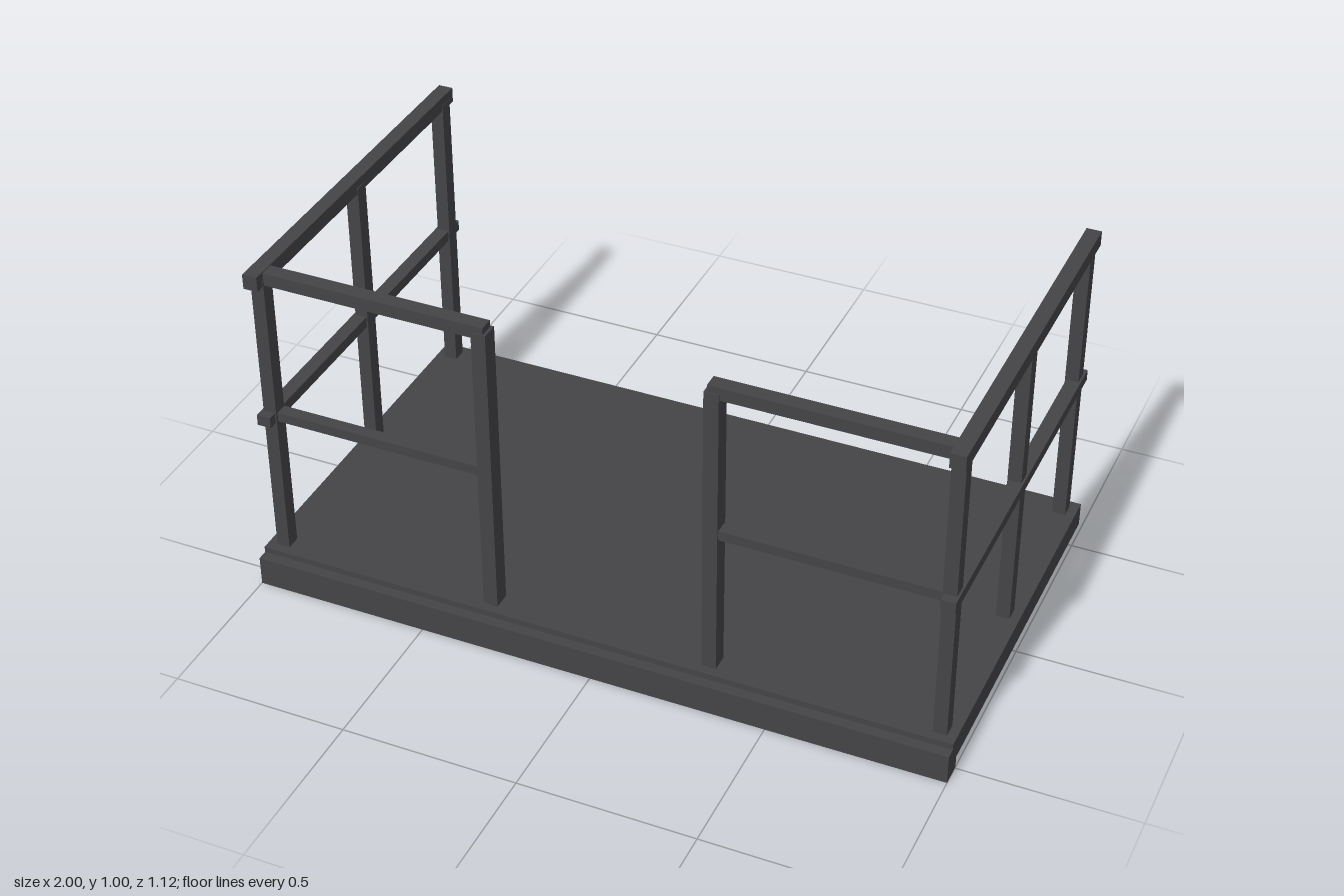
import * as THREE from 'three';

export function createModel() {
  const model = new THREE.Group();
  const darkSteel = new THREE.MeshStandardMaterial({ color: 0x444448 });
  darkSteel.name = 'darkSteel';

  // Box given by its lower and upper limits on each axis
  function bar(parent, name, [x0, x1], [y0, y1], [z0, z1]) {
    const mesh = new THREE.Mesh(new THREE.BoxGeometry(x1 - x0, y1 - y0, z1 - z0), darkSteel);
    mesh.position.set((x0 + x1) / 2, (y0 + y1) / 2, (z0 + z1) / 2);
    mesh.name = name;
    parent.add(mesh);
  }

  // Deck and the lower beam along its front edge
  bar(model, 'deck', [-1, 1], [0.035, 0.105], [-0.56, 0.53]);
  bar(model, 'frontBeam', [-1, 1], [0, 0.087], [0.495, 0.56]);

  for (const side of [-1, 1]) {
    const railing = new THREE.Group();
    railing.name = side > 0 ? 'leftRailing' : 'rightRailing';
    const span = (a, b) => (side > 0 ? [a, b] : [-b, -a]);

    // Side rails run the full depth of the deck
    bar(railing, 'sideTopRail', span(0.938, 0.98), [0.957, 1], [-0.56, 0.53]);
    bar(railing, 'sideMiddleRail', span(0.94, 0.98), [0.525, 0.557], [-0.56, 0.53]);

    // Posts under the side rails
    for (const [name, z] of [['backPost', -0.515], ['middlePost', -0.02], ['cornerPost', 0.483]]) {
      bar(railing, name, span(0.936, 0.974), [0.1, 0.975], [z - 0.021, z + 0.021]);
    }

    // Front return beside the opening
    bar(railing, 'gatePost', span(0.297, 0.338), [0.1, 0.977], [0.452, 0.503]);
    bar(railing, 'frontTopRail', span(0.305, 0.96), [0.96, 0.997], [0.458, 0.5]);
    bar(railing, 'frontMiddleRail', span(0.31, 0.96), [0.527, 0.555], [0.461, 0.497]);
    model.add(railing);
  }
  return model;
}
